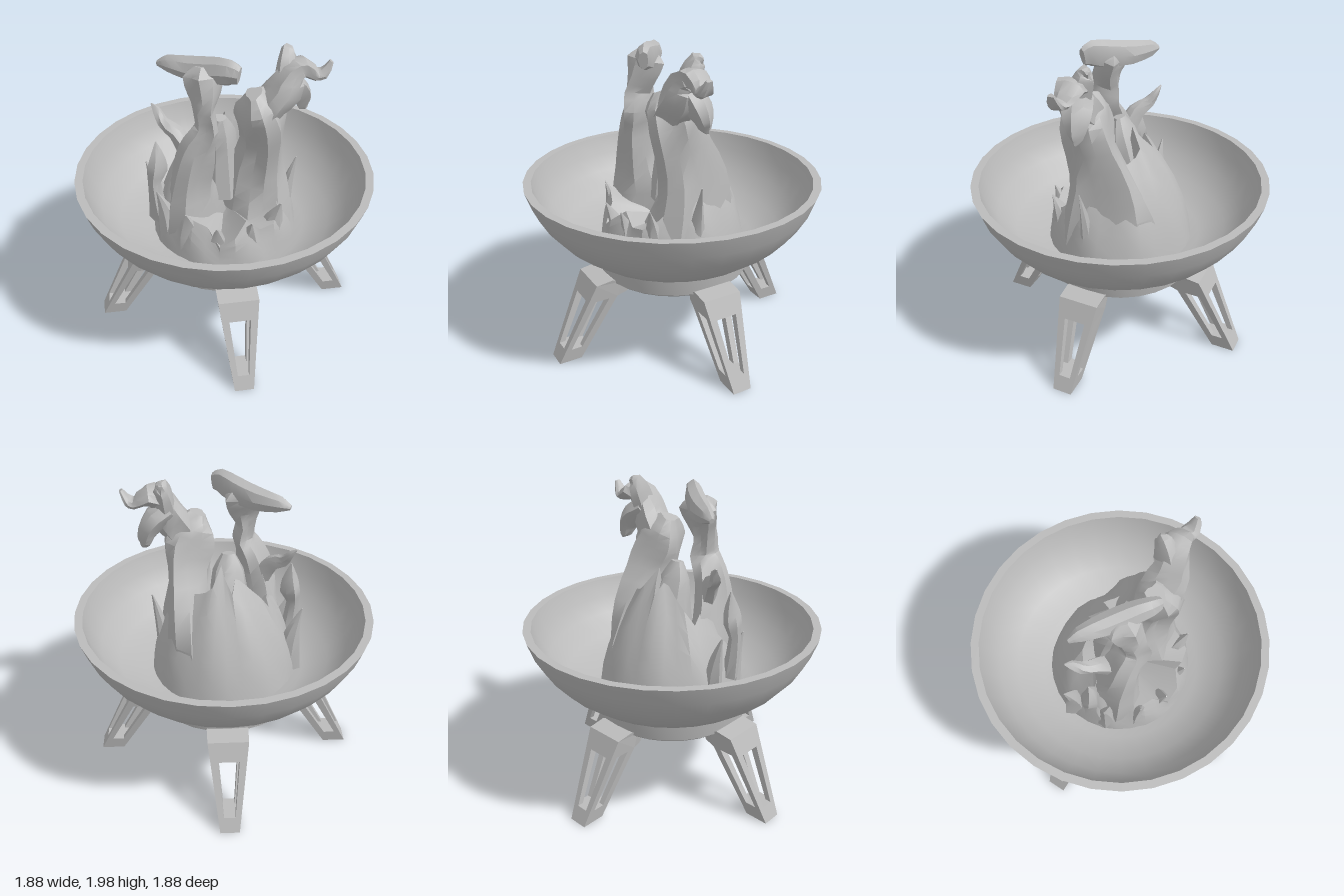
import * as THREE from 'three';
import { toCreasedNormals } from 'three/addons/utils/BufferGeometryUtils.js';

const V2 = (p) => new THREE.Vector2(p[0], p[1]);
const X = new THREE.Vector3(1, 0, 0);
const Y = new THREE.Vector3(0, 1, 0);
const Z = new THREE.Vector3(0, 0, 1);

// Solid of revolution with sharp edges kept
function turned(profile, segments) {
  return toCreasedNormals(new THREE.LatheGeometry(profile.map(V2), segments), 0.5);
}

// Flame tongue: ribbed oval rings along a curve; each section is [x, y, z, width, depth]
function tongue(sections, ref, seed, sides = 10, rib = 0.16) {
  const path = new THREE.CatmullRomCurve3(sections.map((s) => new THREE.Vector3(s[0], s[1], s[2])));
  const size = new THREE.CatmullRomCurve3(sections.map((s) => new THREE.Vector3(s[3], s[4], 0)));
  const rings = (sections.length - 1) * 2;
  const pos = [];
  const index = [];
  for (let i = 0; i <= rings; i++) {
    const p = path.getPoint(i / rings);
    const r = size.getPoint(i / rings);
    const t = path.getTangent(i / rings);
    const side = ref.clone().addScaledVector(t, -ref.dot(t)).normalize();
    const up = t.clone().cross(side);
    for (let j = 0; j < sides; j++) {
      const a = (j / sides) * Math.PI * 2;
      const k = 1 + rib * Math.sin(3 * a + seed + i * 0.35) + rib * 0.5 * Math.sin(5 * a + seed * 2 - i * 0.6);
      const v = p.clone()
        .addScaledVector(side, Math.max(r.x, 0.004) * k * Math.cos(a))
        .addScaledVector(up, Math.max(r.y, 0.004) * k * Math.sin(a));
      pos.push(v.x, v.y, v.z);
    }
  }
  for (let i = 0; i < rings; i++) {
    for (let j = 0; j < sides; j++) {
      const a = i * sides + j;
      const b = i * sides + ((j + 1) % sides);
      index.push(a, b, b + sides, a, b + sides, a + sides);
    }
  }
  // end caps
  const last = rings * sides;
  for (let j = 1; j < sides - 1; j++) {
    index.push(0, j + 1, j, last, last + j, last + j + 1);
  }
  const g = new THREE.BufferGeometry();
  g.setAttribute('position', new THREE.Float32BufferAttribute(pos, 3));
  g.setIndex(index);
  return toCreasedNormals(g, 0.55);
}

// Crater-shaped flame bed: high at the back, low and ragged in front
function flameBed() {
  const levels = [0, 0.2, 0.4, 0.6, 0.8, 1, 1.25, 1.6, 2];
  const g = new THREE.LatheGeometry(levels.map((l) => new THREE.Vector2(1, l)), 30);
  const p = g.attributes.position;
  const radius = (y) => 0.47 - 0.12 * (y - 0.68) - 0.42 * (y - 0.68) ** 2;
  for (let i = 0; i < p.count; i++) {
    const a = Math.atan2(p.getX(i), p.getZ(i));
    const l = p.getY(i);
    const h = 1.17 - 0.26 * Math.cos(a) + 0.05 * Math.sin(7 * a) + 0.03 * Math.sin(11 * a);
    const y = l <= 1 ? 0.68 + (h - 0.68) * l : h + (0.85 - h) * (l - 1);
    const fold = 1 + 0.05 * Math.min(l, 1) * Math.sin(9 * a + 2 * l);
    const r = l <= 1 ? radius(y) * fold : radius(h) * fold * (2 - l);
    p.setXYZ(i, r * Math.sin(a), y, r * Math.cos(a));
  }
  return toCreasedNormals(g, 0.55);
}

// Leg slab: a side profile given thickness between two half-width rules
function slab(points, hole, near, far) {
  const shape = new THREE.Shape(points.map(V2));
  if (hole) shape.holes.push(new THREE.Path(hole.map(V2)));
  const g = new THREE.ExtrudeGeometry(shape, { depth: 1, bevelEnabled: false });
  const p = g.attributes.position;
  for (let i = 0; i < p.count; i++) {
    const rule = p.getZ(i) < 0.5 ? near : far;
    p.setZ(i, rule(p.getX(i), p.getY(i)));
  }
  g.computeVertexNormals();
  return g;
}

export function createModel() {
  const model = new THREE.Group();
  model.name = 'fireBowl';
  const grey = new THREE.MeshStandardMaterial({ color: 0xbbbbbb });
  grey.name = 'plainGrey';
  const add = (parent, name, geometry) => {
    const mesh = new THREE.Mesh(geometry, grey);
    mesh.name = name;
    parent.add(mesh);
    return mesh;
  };

  // Bowl and its base
  add(model, 'bowl', turned([
    [0, 0.64], [0.48, 0.64], [0.62, 0.7], [0.75, 0.8], [0.84, 0.905], [0.9, 1.01], [0.94, 1.125],
    [0.89, 1.125], [0.855, 1.01], [0.79, 0.9], [0.68, 0.79], [0.52, 0.715], [0, 0.68],
  ], 32));
  add(model, 'baseRing', turned([
    [0, 0.51], [0.47, 0.51], [0.495, 0.53], [0.51, 0.64], [0.46, 0.66],
  ], 28));
  add(model, 'burnerHub', turned([
    [0, 0.34], [0.19, 0.34], [0.2, 0.355], [0.2, 0.52],
  ], 20));

  // Four legs: windowed side plates joined by a shoulder and a foot
  const outer = (x, y) => (0.06 + 0.125 * y) * Math.min(1, 0.55 + Math.max(0, x - 0.32) * 3.5);
  const inner = (x, y) => 0.027 + 0.095 * y;
  const minus = (f) => (x, y) => -f(x, y);
  const plate = [[0.71, 0.01], [0.86, 0.01], [0.664, 0.43], [0.465, 0.43]];
  const gap = [[0.71, 0.095], [0.78, 0.1], [0.615, 0.43 - 0.004], [0.522, 0.43 - 0.004]];
  const shoulder = [[0.32, 0.515], [0.38, 0.43], [0.465, 0.43], [0.664, 0.43], [0.61, 0.545], [0.5, 0.56], [0.44, 0.53]];
  const foot = [[0.71, 0.01], [0.86, 0.01], [0.818, 0.1], [0.658, 0.1]];
  for (let k = 0; k < 4; k++) {
    const leg = new THREE.Group();
    leg.name = 'leg' + (k + 1);
    add(leg, 'legPlateA', slab(plate, gap, inner, outer));
    add(leg, 'legPlateB', slab(plate, gap, minus(outer), minus(inner)));
    add(leg, 'legShoulder', slab(shoulder, null, minus(outer), outer));
    add(leg, 'legFoot', slab(foot, null, minus(outer), outer));
    leg.rotation.y = (k * Math.PI) / 2;
    model.add(leg);
  }

  // Fire
  const fire = new THREE.Group();
  fire.name = 'fire';
  model.add(fire);
  add(fire, 'flameBed', flameBed());
  add(fire, 'rightFlame', tongue([
    [-0.22, 0.72, 0.06, 0.2, 0.25], [-0.23, 1.0, 0.1, 0.16, 0.19], [-0.23, 1.16, 0.12, 0.125, 0.15],
    [-0.2, 1.35, 0.15, 0.11, 0.12], [-0.17, 1.46, 0.16, 0.09, 0.11], [-0.125, 1.56, 0.17, 0.07, 0.1],
    [-0.14, 1.66, 0.16, 0.06, 0.09], [-0.13, 1.76, 0.14, 0.095, 0.08], [-0.13, 1.86, 0.11, 0.12, 0.09],
    [-0.13, 1.92, 0.1, 0.06, 0.04],
  ], X, 1));
  add(fire, 'rightFlameCrest', tongue([
    [-0.38, 1.86, -0.08, 0.015, 0.015], [-0.32, 1.87, -0.05, 0.05, 0.045], [-0.2, 1.87, 0.03, 0.075, 0.065],
    [-0.08, 1.89, 0.12, 0.085, 0.065], [0.0, 1.91, 0.19, 0.08, 0.05], [0.05, 1.9, 0.22, 0.055, 0.03],
  ], Y, 0.5, 8, 0.08));
  add(fire, 'rightFlameCurl', tongue([
    [-0.22, 1.3, 0.08, 0.07, 0.06], [-0.3, 1.44, 0.03, 0.05, 0.05], [-0.37, 1.49, -0.03, 0.035, 0.035],
    [-0.4, 1.55, -0.07, 0.02, 0.025], [-0.43, 1.59, -0.09, 0.004, 0.004],
  ], Z, 2, 7));
  add(fire, 'leftFlame', tongue([
    [0.2, 0.72, 0, 0.21, 0.34], [0.21, 1.0, -0.01, 0.18, 0.27], [0.215, 1.2, 0.01, 0.155, 0.21],
    [0.225, 1.4, 0.07, 0.13, 0.16], [0.21, 1.55, 0.11, 0.15, 0.15], [0.18, 1.66, 0.13, 0.12, 0.13],
    [0.15, 1.74, 0.14, 0.05, 0.06],
  ], X, 3, 12));
  add(fire, 'leftFlameHead', tongue([
    [0.2, 1.5, 0.1, 0.1, 0.1], [0.25, 1.64, 0.12, 0.12, 0.1], [0.33, 1.74, 0.13, 0.11, 0.11],
    [0.37, 1.84, 0.12, 0.09, 0.08], [0.44, 1.87, 0.1, 0.08, 0.06], [0.52, 1.82, 0.11, 0.055, 0.035],
    [0.56, 1.83, 0.12, 0.05, 0.03], [0.6, 1.9, 0.12, 0.02, 0.012],
  ], Z, 1.2, 10, 0.12));
  add(fire, 'leftFlamePeak', tongue([
    [0.34, 1.78, 0.1, 0.07, 0.08], [0.35, 1.88, 0.07, 0.06, 0.07], [0.36, 1.95, 0.04, 0.04, 0.05],
    [0.38, 1.96, 0.02, 0.01, 0.01],
  ], X, 2, 8));
  add(fire, 'leftFlameLobe', tongue([
    [0.32, 1.78, 0.1, 0.08, 0.08], [0.4, 1.73, 0.08, 0.085, 0.08], [0.45, 1.66, 0.06, 0.065, 0.06],
    [0.47, 1.59, 0.05, 0.035, 0.04], [0.49, 1.56, 0.05, 0.008, 0.008],
  ], Z, 4, 8));
  add(fire, 'rearFlame', tongue([
    [-0.03, 1.0, -0.06, 0.16, 0.2], [-0.03, 1.25, -0.03, 0.12, 0.13], [-0.03, 1.42, 0, 0.095, 0.08],
    [-0.03, 1.52, 0.02, 0.04, 0.035],
  ], X, 5, 10, 0.06));
  add(fire, 'leafFlame', tongue([
    [-0.42, 0.85, 0.08, 0.06, 0.06], [-0.45, 1.12, 0.08, 0.04, 0.04], [-0.435, 1.21, 0.07, 0.065, 0.055],
    [-0.425, 1.3, 0.07, 0.045, 0.04], [-0.425, 1.41, 0.06, 0.004, 0.004],
  ], X, 0, 7));

  // Short tongues around the bed: [angle from front, radius, top height, width]
  const sparks = [
    [-1.75, 0.48, 1.17, 0.08], [-1.2, 0.46, 1.12, 0.08], [-0.7, 0.43, 1.05, 0.09], [-0.25, 0.42, 0.98, 0.08],
    [0.25, 0.42, 1.0, 0.08], [0.75, 0.43, 1.06, 0.09], [1.45, 0.44, 1.21, 0.06],
  ];
  sparks.forEach(([a, r, top, w], i) => {
    const at = (k, y, s) => [r * k * Math.sin(a), y, r * k * Math.cos(a), w * s, w * s * 0.8];
    add(fire, 'shortFlame' + (i + 1), tongue([
      at(0.86, 0.7, 1), at(0.9, 0.7 + (top - 0.7) * 0.5, 0.75), at(0.97, 0.7 + (top - 0.7) * 0.8, 0.35), at(1.03, top, 0.04),
    ], X, i, 7));
  });

  return model;
}
